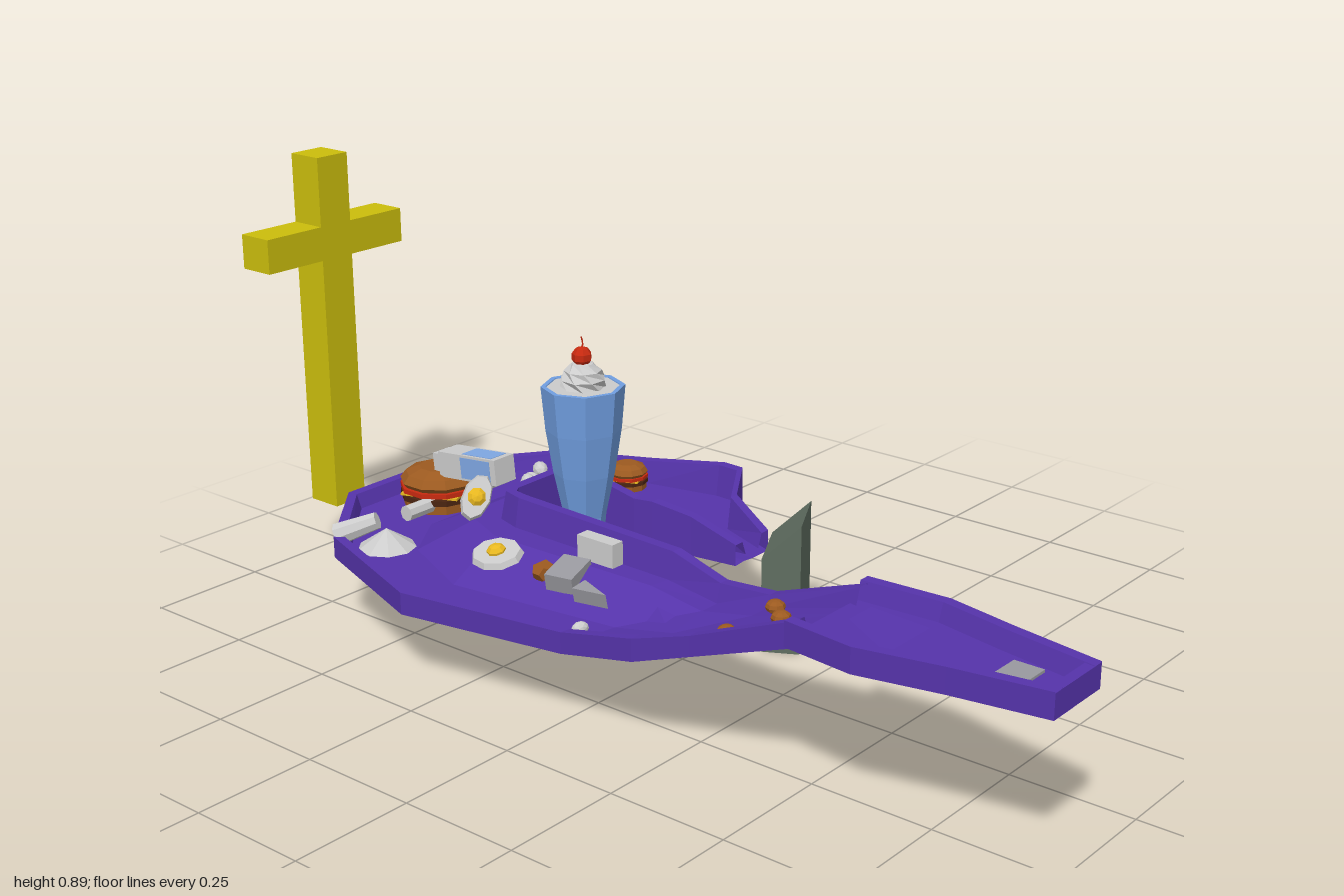
import * as THREE from 'three';

const mat = (color) => new THREE.MeshStandardMaterial({ color, flatShading: true, side: THREE.DoubleSide });
const PURPLE = mat(0x5533aa), GREY = mat(0xcccccc), GOLD = mat(0xcbbd0c), STONE = mat(0x5f6d60);
const GLASS = mat(0x709ee0), BUN = mat(0x9c5a20), RED = mat(0xc82a10), YELLOW = mat(0xe8b820);
const MEAT = mat(0x4a2410), LABEL = mat(0x7fa8e4), PAD = mat(0x99999f);

function add(parent, name, geo, material, pos = [0, 0, 0], rot = [0, 0, 0], scale = [1, 1, 1]) {
  const m = new THREE.Mesh(geo, material);
  m.name = name;
  m.position.set(...pos);
  m.rotation.set(...rot);
  m.scale.set(...scale);
  parent.add(m);
  return m;
}

const box = (x, y, z) => new THREE.BoxGeometry(x, y, z);
const lathe = (pts, sides) => new THREE.LatheGeometry(pts.map((p) => new THREE.Vector2(...p)), sides);

// Skin a list of equal-length closed rings
function loft(rings) {
  const n = rings[0].length, pos = rings.flat(2), index = [];
  for (let i = 0; i < rings.length - 1; i++) {
    for (let j = 0; j < n; j++) {
      const a = i * n + j, b = i * n + (j + 1) % n;
      index.push(a, b, a + n, b, b + n, a + n);
    }
  }
  const g = new THREE.BufferGeometry();
  g.setAttribute('position', new THREE.Float32BufferAttribute(pos, 3));
  g.setIndex(index);
  g.computeVertexNormals();
  return g;
}

// Trough cross-section from outer edge (ox, oz) to inner edge (ix, iz):
// outer wall, low floor, slope between f1 and f2, terrace at height high, inner wall
function trough([ox, oz, ix, iz, base, outTop, inTop, f1, f2, high]) {
  const t = 0.022 / Math.hypot(ix - ox, iz - oz), floor = base + 0.015;
  const profile = [
    [0, base], [0, outTop], [t, outTop], [1.5 * t, floor], [f1, floor], [f2, high],
    [1 - 1.5 * t, high], [1 - t, inTop], [1, inTop], [1, base],
    [1 - t, high - 0.013], [f2, high - 0.013], [f1, base], [t, base],
  ];
  return profile.map(([f, y]) => [ox + (ix - ox) * f, y, oz + (iz - oz) * f]);
}

// Layered bun with fillings
function burger(parent, name, pos, r, h) {
  const g = new THREE.Group();
  g.name = name;
  g.position.set(...pos);
  const disc = (n, m, rr, y, t) => add(g, n, new THREE.CylinderGeometry(r * rr, r * rr, h * t, 10), m, [0, h * y, 0]);
  disc('bottomBun', BUN, 0.93, 0.12, 0.24);
  disc('patty', MEAT, 1, 0.31, 0.14);
  add(g, 'cheese', box(r * 1.5, h * 0.06, r * 1.5), YELLOW, [0, h * 0.41, 0], [0, 0.4, 0]);
  disc('tomato', RED, 1, 0.5, 0.12);
  add(g, 'topBun', lathe([[r * 0.9, h * 0.56], [r, h * 0.68], [r * 0.85, h * 0.87], [r * 0.5, h], [0, h]], 10), BUN);
  parent.add(g);
}

// Fried egg: flat white with a yolk
function egg(parent, pos, rot, sx, sz) {
  const g = new THREE.Group();
  g.name = 'friedEgg';
  g.position.set(...pos);
  g.rotation.set(...rot);
  add(g, 'eggWhite', new THREE.CylinderGeometry(0.9, 1, 0.012, 9), GREY, [0, 0, 0], [0, 0, 0], [sx, 1, sz]);
  add(g, 'yolk', new THREE.SphereGeometry(0.02, 8, 5), YELLOW, [0, 0.006, 0], [0, 0, 0], [1, 0.7, 1]);
  parent.add(g);
}

export function createModel() {
  const root = new THREE.Group();
  root.name = 'miniGolfHole';

  // Curved lane: ramp, left arm, bend, right arm
  add(root, 'curvedLane', loft([
    [-0.345, 0.53, -0.14, 0.53, 0.305, 0.355, 0.355, 0.45, 0.7, 0.32],
    [-0.37, 0.32, -0.118, 0.32, 0.235, 0.275, 0.275, 0.42, 0.7, 0.252],
    [-0.385, 0.2, -0.11, 0.2, 0.195, 0.24, 0.262, 0.42, 0.72, 0.225],
    [-0.385, 0.03, -0.1, 0.08, 0.16, 0.203, 0.29, 0.44, 0.74, 0.235],
    [-0.44, -0.33, -0.09, -0.33, 0.155, 0.2, 0.295, 0.4, 0.74, 0.235],
    [-0.33, -0.64, -0.085, -0.36, 0.155, 0.2, 0.295, 0.45, 0.77, 0.235],
    [-0.14, -0.805, -0.07, -0.37, 0.155, 0.2, 0.295, 0.49, 0.79, 0.235],
    [0.12, -0.805, 0.07, -0.37, 0.155, 0.2, 0.295, 0.49, 0.79, 0.235],
    [0.345, -0.64, 0.085, -0.36, 0.155, 0.2, 0.295, 0.42, 0.76, 0.235],
    [0.4, -0.41, 0.09, -0.33, 0.155, 0.218, 0.29, 0.5, 0.8, 0.235],
    [0.437, -0.24, 0.1, -0.21, 0.155, 0.237, 0.26, 0.72, 0.86, 0.2],
    [0.435, -0.19, 0.11, -0.17, 0.155, 0.237, 0.26, 0.75, 0.87, 0.185],
    [0.3, -0.1, 0.135, -0.09, 0.155, 0.237, 0.24, 0.5, 0.8, 0.172],
    [0.257, 0.015, 0.15, 0.015, 0.155, 0.2, 0.2, 0.5, 0.7, 0.17],
  ].map(trough)), PURPLE);

  // Raised starting tray
  add(root, 'startTray', loft([
    [-0.31, 1, -0.165, 1], [-0.34, 0.82, -0.135, 0.82], [-0.375, 0.66, -0.107, 0.68], [-0.36, 0.515, -0.117, 0.515],
  ].map((s) => trough([...s, 0.308, 0.357, 0.357, 0.4, 0.6, 0.323]))), PURPLE);
  add(root, 'startTrayEnd', box(0.145, 0.047, 0.02), PURPLE, [-0.2375, 0.332, 0.99]);
  const bump = new THREE.BufferGeometry().setFromPoints([
    [-0.3, 0.324, 0.68], [-0.17, 0.324, 0.68], [-0.2, 0.345, 0.58],
    [-0.3, 0.324, 0.68], [-0.2, 0.345, 0.58], [-0.265, 0.345, 0.58],
  ].map((p) => new THREE.Vector3(...p)));
  bump.computeVertexNormals();
  add(root, 'startBump', bump, PURPLE);
  add(root, 'teePad', box(0.09, 0.024, 0.058), PAD, [-0.24, 0.316, 0.887]);

  // Cross behind the bend
  add(root, 'crossPost', box(0.082, 0.775, 0.08), GOLD, [-0.034, 0.5075, -0.96]);
  add(root, 'crossBar', box(0.372, 0.073, 0.08), GOLD, [-0.034, 0.7115, -0.96]);

  // Stone block with a sloping top
  const stone = box(0.144, 0.274, 0.078);
  const sp = stone.attributes.position;
  for (let i = 0; i < sp.count; i++) {
    if (sp.getY(i) > 0 && sp.getZ(i) < 0) sp.setY(i, 0.063);
  }
  stone.computeVertexNormals();
  add(root, 'stoneBlock', stone, STONE, [0.208, 0.137, 0.098], [0, 0.5, 0]);

  // Milkshake
  const shake = new THREE.Group();
  shake.name = 'milkshake';
  shake.position.set(-0.004, 0, -0.25);
  root.add(shake);
  add(shake, 'glass', lathe([[0, 0.175], [0.067, 0.177], [0.067, 0.187], [0.05, 0.203], [0.04, 0.22], [0.043, 0.25],
    [0.062, 0.34], [0.076, 0.43], [0.084, 0.52], [0.074, 0.52], [0.068, 0.5]], 8), GLASS);
  add(shake, 'milk', new THREE.CylinderGeometry(0.08, 0.076, 0.01, 8), GREY, [0, 0.513, 0]);
  // Whipped cream, twisted as it rises
  const cream = lathe([[0.046, 0.515], [0.046, 0.535], [0.038, 0.552], [0.022, 0.566], [0, 0.572]], 8);
  const cp = cream.attributes.position;
  for (let i = 0; i < cp.count; i++) {
    const a = (cp.getY(i) - 0.515) * 22, x = cp.getX(i), z = cp.getZ(i);
    cp.setX(i, x * Math.cos(a) - z * Math.sin(a));
    cp.setZ(i, x * Math.sin(a) + z * Math.cos(a));
  }
  cream.computeVertexNormals();
  add(shake, 'whippedCream', cream, GREY);
  add(shake, 'cherry', new THREE.SphereGeometry(0.021, 7, 5), RED, [-0.002, 0.58, 0]);
  add(shake, 'cherryStem', new THREE.TubeGeometry(new THREE.QuadraticBezierCurve3(
    new THREE.Vector3(-0.002, 0.593, 0), new THREE.Vector3(0.004, 0.605, 0), new THREE.Vector3(-0.003, 0.62, 0)), 4, 0.002, 4), RED);

  // Food and tableware along the lane
  burger(root, 'burger', [-0.005, 0.172, -0.665], 0.085, 0.085);
  burger(root, 'smallBurger', [0.265, 0.2, -0.37], 0.044, 0.055);
  egg(root, [-0.228, 0.226, -0.28], [0, 0, 0.25], 0.05, 0.056);
  egg(root, [-0.135, 0.28, -0.425], [0.5, 0.6, 0.75], 0.05, 0.03);

  const carton = new THREE.Group();
  carton.name = 'carton';
  carton.position.set(-0.01, 0.285, -0.548);
  carton.rotation.x = -0.1;
  root.add(carton);
  add(carton, 'cartonBody', box(0.058, 0.055, 0.165), GREY);
  add(carton, 'cartonLabel', box(0.06, 0.045, 0.085), LABEL, [0, 0, 0.025]);
  add(carton, 'cartonLabelTop', box(0.045, 0.057, 0.085), LABEL, [0, 0, 0.025]);
  add(carton, 'cartonCap', box(0.046, 0.04, 0.03), GREY, [0, 0, -0.09]);

  add(root, 'rollingPin', new THREE.CylinderGeometry(0.017, 0.017, 0.296, 8), GREY, [0.014, 0.192, -0.635], [0, 0, Math.PI / 2]);
  const shaker = new THREE.Group();
  shaker.name = 'tippedShaker';
  shaker.position.set(-0.25, 0.172, -0.57);
  root.add(shaker);
  add(shaker, 'saltHeap', new THREE.ConeGeometry(0.06, 0.04, 9), GREY, [0, 0.02, 0]);
  add(shaker, 'shakerBody', new THREE.CylinderGeometry(0.018, 0.024, 0.09, 8), GREY, [-0.035, 0.04, -0.048], [1.2, 0.65, 0, 'YXZ']);

  // Scattered pebbles
  [[0.14, -0.692, 0.016], [0.253, -0.615, 0.021], [0.203, -0.595, 0.015], [0.155, -0.568, 0.018],
    [0.182, -0.585, 0.02], [0.262, -0.515, 0.02], [-0.32, 0.02, 0.016]].forEach(([x, z, r], i) =>
    add(root, 'pebble', new THREE.IcosahedronGeometry(r, 1), GREY, [x, 0.185, z], [0, i, 0], [1.1, 0.85, 0.8]));

  // Small pieces on the left arm
  add(root, 'crumb', new THREE.DodecahedronGeometry(0.023), BUN, [-0.225, 0.22, -0.16]);
  add(root, 'sugarBlock', box(0.075, 0.035, 0.06), PAD, [-0.21, 0.222, -0.108], [0, 0.2, 0.2]);
  add(root, 'wedge', new THREE.CylinderGeometry(0.05, 0.05, 0.03, 3), PAD, [-0.24, 0.212, -0.03], [0, -0.1, 0.2], [0.4, 1, 1]);
  add(root, 'creamerBox', box(0.03, 0.05, 0.09), GREY, [-0.145, 0.258, -0.085]);

  // Cookies on the ramp
  [[-0.31, 0.355], [-0.17, 0.355], [-0.24, 0.42]].forEach(([x, z]) =>
    add(root, 'cookie', new THREE.SphereGeometry(0.019, 8, 6), BUN, [x, 0.272 + (z - 0.355) * 0.33, z], [0, 0, 0], [1, 0.7, 1]));

  return root;
}
